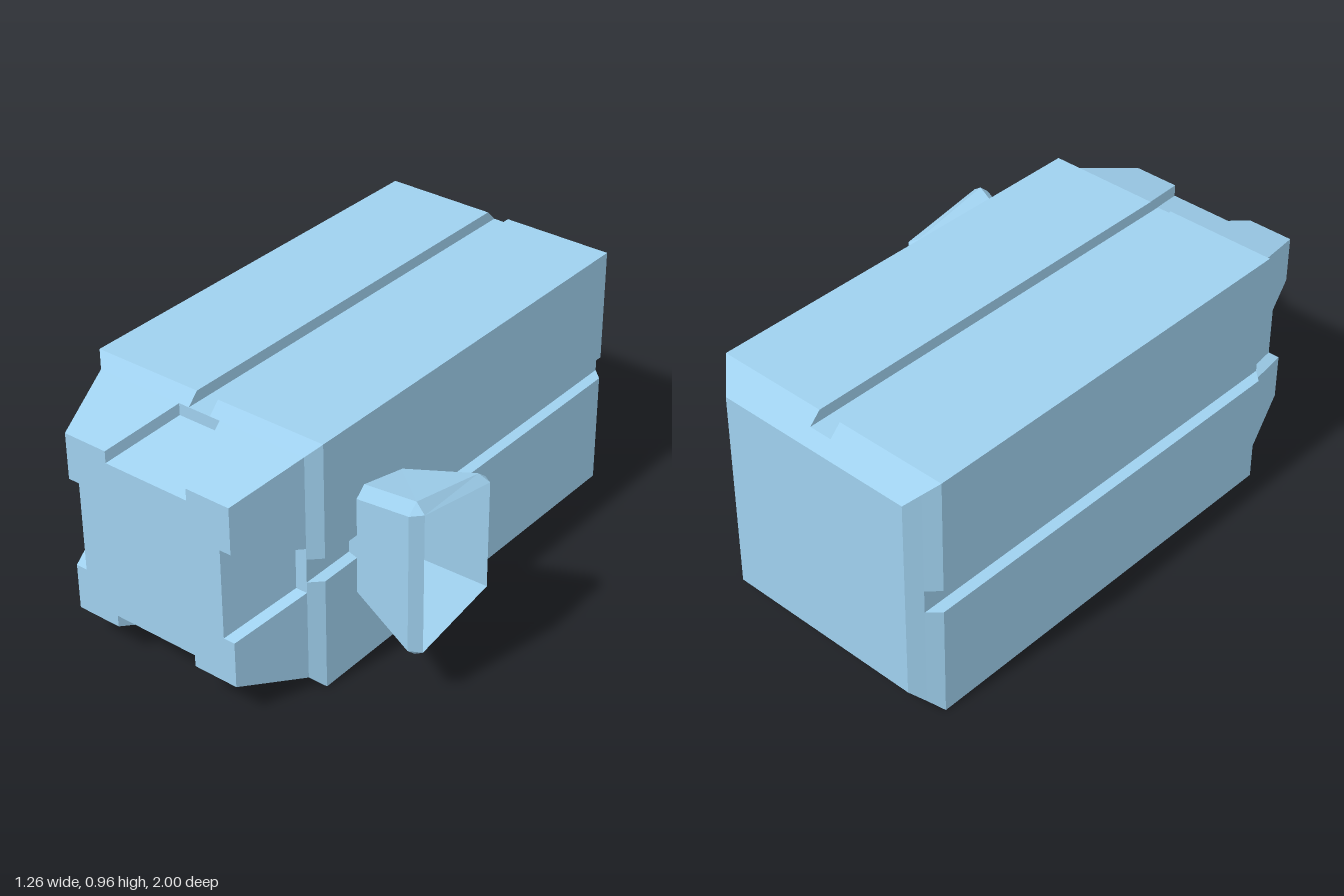
import * as THREE from 'three';

const material = new THREE.MeshStandardMaterial({ color: 0x9fd0ee, flatShading: true });

// Skins a list of { z, pts } rings (counter-clockwise seen from +z) and caps both ends.
function loft(rings) {
  const pos = [];
  const area = new THREE.Triangle();
  const tri = (...p) => {
    area.set(...p);
    if (area.getArea() > 1e-8) p.forEach((v) => pos.push(v.x, v.y, v.z));
  };
  const loops = rings.map(({ z, pts }) => pts.map(([x, y]) => new THREE.Vector3(x, y, z)));
  for (let k = 0; k < loops.length - 1; k++) {
    const lower = loops[k], upper = loops[k + 1], n = lower.length;
    for (let i = 0; i < n; i++) {
      const j = (i + 1) % n;
      tri(lower[i], lower[j], upper[j]);
      tri(lower[i], upper[j], upper[i]);
    }
  }
  const cap = (loop, flip) => {
    const unique = loop.filter((p, i) => p.distanceTo(loop[(i + 1) % loop.length]) > 1e-5);
    const flat = unique.map((p) => new THREE.Vector2(p.x, p.y));
    for (const [a, b, c] of THREE.ShapeUtils.triangulateShape(flat, [])) {
      if (flip) tri(unique[a], unique[c], unique[b]);
      else tri(unique[a], unique[b], unique[c]);
    }
  };
  cap(loops[0], true);
  cap(loops[loops.length - 1], false);
  const geometry = new THREE.BufferGeometry();
  geometry.setAttribute('position', new THREE.Float32BufferAttribute(pos, 3));
  geometry.computeVertexNormals();
  return geometry;
}

// Square of half-size h with a slot (half-width a, depth d) in the middle of each side.
function slottedSquare(z, h, a, d) {
  let side = [[h, h], [a, h], [a, h - d], [-a, h - d], [-a, h]];
  const pts = [];
  for (let i = 0; i < 4; i++) {
    pts.push(...side);
    side = side.map(([x, y]) => [-y, x]);
  }
  return { z, pts };
}

// Four-cornered ring with trimmed corners; front/back are z limits, yf/yb the
// half-heights there and c the corner trim. With c = 0 the corners are sharp.
function trimmedRing(x, front, back, yf, yb, c) {
  const cy = 0.48, s = (yf - yb) / (front - back);
  const upper = [
    [-front, yf - c * 0.9],
    [-front + c, yf],
    [-back - c, yb + s * c],
    [-back, yb + s * c - c * 0.8],
  ];
  const lower = upper.map(([u, v]) => [u, -v]).reverse();
  const pts = [...upper, ...lower].reverse().map(([u, v]) => [u, cy + v]);
  return { z: x, pts };
}

export function createModel() {
  const group = new THREE.Group();
  group.name = 'slottedBlock';

  // Long block: chamfered back, grooves along all four sides, notched tapering nose
  const body = new THREE.Mesh(loft([
    slottedSquare(-1, 0.393, 0.045, 0),
    slottedSquare(-0.957, 0.435, 0.045, 0),
    slottedSquare(-0.915, 0.478, 0.045, 0.043),
    slottedSquare(0.695, 0.478, 0.045, 0.043),
    slottedSquare(0.737, 0.435, 0.045, 0),
    slottedSquare(0.737, 0.435, 0.087, 0.045),
    slottedSquare(1, 0.35, 0.173, 0.045),
  ]), material);
  body.name = 'body';
  body.position.set(-0.153, 0.478, 0);
  group.add(body);

  // Flared hollow funnel on the side: outer wall, bevelled lip, inner wall, floor
  const funnel = new THREE.Mesh(loft([
    trimmedRing(0.28, 0.519, 0.26, 0.208, 0.16, 0.04),
    trimmedRing(0.32, 0.53, 0.25, 0.22, 0.168, 0.04),
    trimmedRing(0.587, 0.6, 0.187, 0.3, 0.225, 0.04),
    trimmedRing(0.627, 0.57, 0.217, 0.27, 0.208, 0),
    trimmedRing(0.335, 0.482, 0.305, 0.17, 0.139, 0),
  ]), material);
  funnel.name = 'sideFunnel';
  funnel.rotation.y = Math.PI / 2;
  group.add(funnel);

  return group;
}
